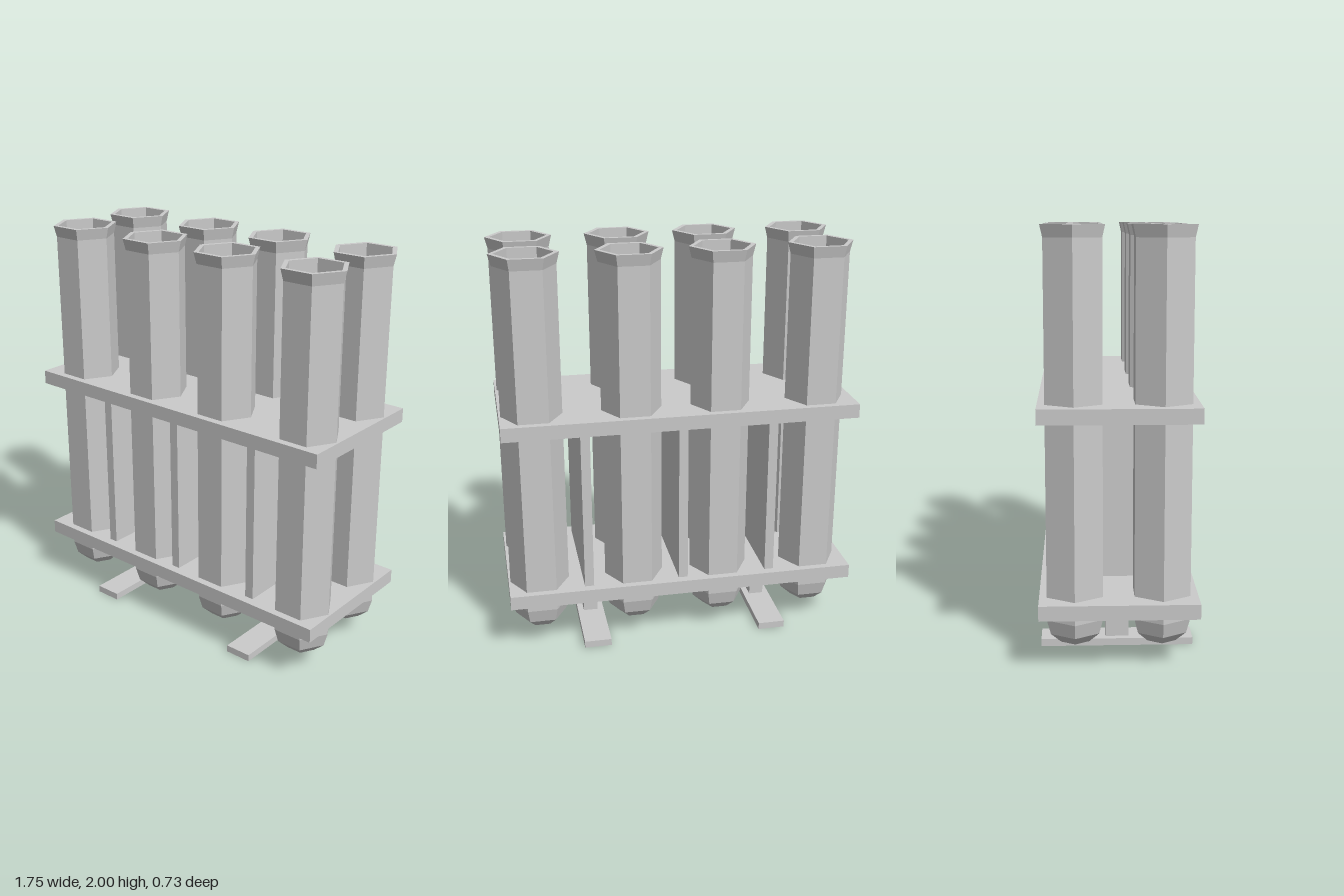
import * as THREE from 'three';

export function createModel() {
  const group = new THREE.Group();
  group.name = 'testTubeRack';
  const grey = new THREE.MeshStandardMaterial({ color: 0xcccccc, flatShading: true });

  // Box given by its extents along each axis
  function addBox(name, [x0, x1], [y0, y1], [z0, z1]) {
    const mesh = new THREE.Mesh(new THREE.BoxGeometry(x1 - x0, y1 - y0, z1 - z0), grey);
    mesh.position.set((x0 + x1) / 2, (y0 + y1) / 2, (z0 + z1) / 2);
    mesh.name = name;
    group.add(mesh);
  }

  // Shelves
  addBox('lowerShelf', [-0.88, 0.87], [0.26, 0.33], [-0.363, 0.365]);
  addBox('upperShelf', [-0.88, 0.87], [1.15, 1.22], [-0.363, 0.365]);

  // Upright dividers between the columns of tubes
  for (const x of [-0.458, -0.007, 0.473]) {
    addBox('divider', [x - 0.023, x + 0.023], [0.33, 1.15], [-0.32, 0.32]);
  }

  // Legs standing on long flat feet
  for (const x of [-0.471, 0.442]) {
    addBox('leg', [x - 0.037, x + 0.037], [0.035, 0.26], [-0.055, 0.058]);
    addBox('foot', [x - 0.068, x + 0.068], [0, 0.035], [-0.363, 0.365]);
  }

  // Hollow hexagonal tube: rounded bottom, flared rim, inner wall and floor
  const profile = [
    [0, 0.08], [0.075, 0.102], [0.128, 0.15], [0.148, 0.22], [0.148, 1.945], [0.162, 2],
    [0.138, 2], [0.138, 0.22], [0.118, 0.157], [0.068, 0.112], [0, 0.092],
  ].map(([r, y]) => new THREE.Vector2(r, y));
  const tubeGeometry = new THREE.LatheGeometry(profile, 6, Math.PI / 2).toNonIndexed();
  tubeGeometry.computeVertexNormals();

  for (const z of [-0.2, 0.2]) {
    for (const x of [-0.692, -0.212, 0.23, 0.713]) {
      const tube = new THREE.Mesh(tubeGeometry, grey);
      tube.position.set(x, 0, z);
      tube.name = 'tube';
      group.add(tube);
    }
  }
  return group;
}
